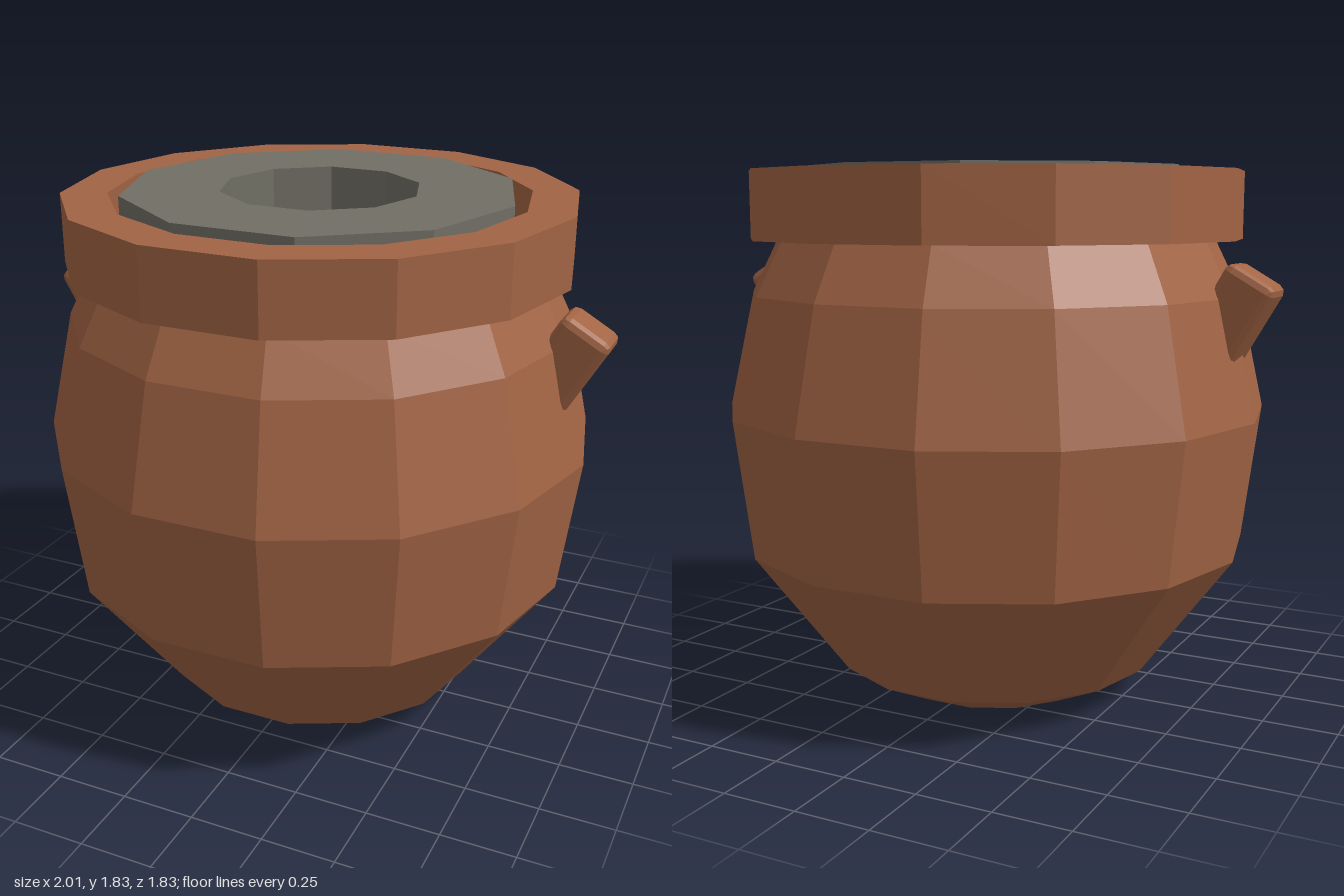
import * as THREE from 'three';
import { RoundedBoxGeometry } from 'three/addons/geometries/RoundedBoxGeometry.js';

const clay = new THREE.MeshStandardMaterial({ color: 0xa26444, flatShading: true });
clay.name = 'terracotta clay';
const stone = new THREE.MeshStandardMaterial({ color: 0x716f65, flatShading: true });
stone.name = 'grey stone';

// Faceted turned part with a corner on the x axis; profile runs up the outside
function turned(name, profile, sides, material) {
  const points = profile.map(([r, y]) => new THREE.Vector2(r, y));
  const mesh = new THREE.Mesh(new THREE.LatheGeometry(points, sides, Math.PI / 2), material);
  mesh.name = name;
  return mesh;
}

export function createModel() {
  const model = new THREE.Group();
  model.name = 'pot';

  // Round-bellied body with a closed foot
  model.add(turned('body', [
    [0, 0], [0.35, 0], [0.56, 0.1], [0.88, 0.53], [0.94, 1.0], [0.85, 1.4], [0.76, 1.58],
  ], 14, clay));

  // Overhanging collar, with the recessed floor inside it
  model.add(turned('rim', [
    [0.74, 1.58], [0.855, 1.58], [0.855, 1.81], [0.7, 1.81], [0.7, 1.67],
  ], 14, clay));
  model.add(turned('innerFloor', [[0.7, 1.67], [0, 1.67]], 14, clay));

  // Stone ring lying in the mouth
  model.add(turned('stoneRing', [
    [0.66, 1.67], [0.66, 1.825], [0.335, 1.825], [0.335, 1.67],
  ], 10, stone));

  // Chamfered lugs leaning out of the shoulders
  for (const [name, turn] of [['leftHandle', 0], ['rightHandle', Math.PI]]) {
    const handle = new THREE.Group();
    handle.name = name;
    const lug = new THREE.Mesh(new RoundedBoxGeometry(0.18, 0.36, 0.164, 1, 0.026), clay);
    lug.name = name + 'Lug';
    lug.position.set(0.845, 1.32, 0);
    lug.rotation.z = -Math.PI / 6;
    handle.add(lug);
    handle.rotation.y = turn;
    model.add(handle);
  }

  return model;
}
